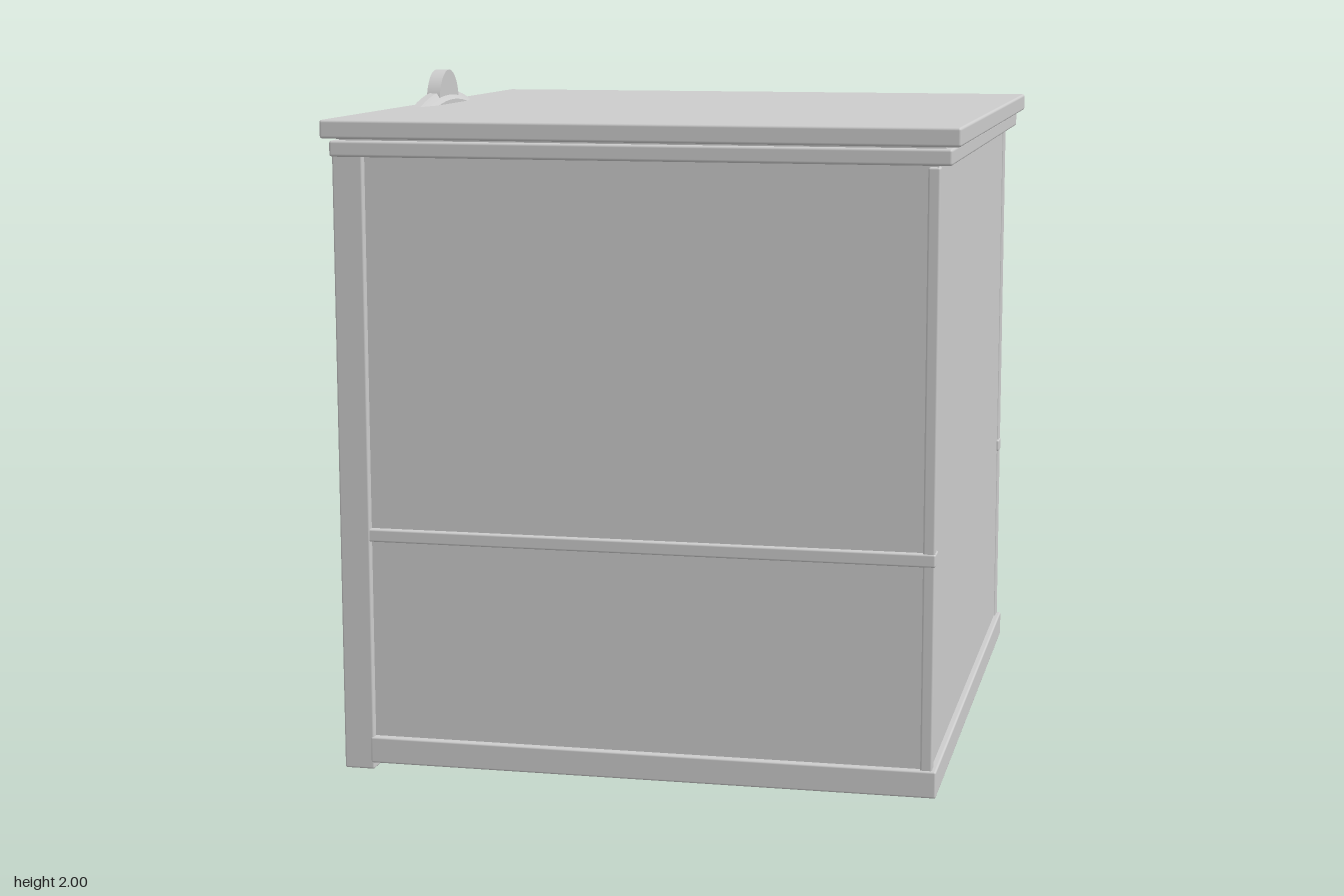
import * as THREE from 'three';
import { toCreasedNormals } from 'three/addons/utils/BufferGeometryUtils.js';
import { RoundedBoxGeometry } from 'three/addons/geometries/RoundedBoxGeometry.js';

export function createModel() {
  const group = new THREE.Group();
  const grey = new THREE.MeshStandardMaterial({ color: 0xcccccc });
  grey.name = 'plain grey';

  function add(name, geometry) {
    const mesh = new THREE.Mesh(geometry, grey);
    mesh.name = name;
    group.add(mesh);
    return mesh;
  }
  // Box given by its extents, with softened edges when r > 0
  function block(name, [x0, x1], [y0, y1], [z0, z1], r = 0.006) {
    const size = [x1 - x0, y1 - y0, z1 - z0];
    const geometry = r ? new RoundedBoxGeometry(...size, 2, r) : new THREE.BoxGeometry(...size);
    add(name, geometry).position.set((x0 + x1) / 2, (y0 + y1) / 2, (z0 + z1) / 2);
  }

  // Roof slab and the cornice below it
  block('roofSlab', [-0.905, 0.905], [1.842, 1.895], [-0.97, 0.97], 0.008);
  block('roofCore', [-0.86, 0.86], [1.82, 1.86], [-0.93, 0.93], 0);
  block('cornice', [-0.885, 0.88], [1.79, 1.836], [-0.95, 0.95], 0.008);

  // Closed end wall
  block('endWall', [0.815, 0.84], [0.06, 1.8], [-0.92, 0.92], 0);
  block('endBaseRail', [0.805, 0.858], [0.02, 0.098], [-0.942, 0.942]);

  // Front and back walls, mirrored
  for (const s of [1, -1]) {
    const side = s > 0 ? 'front' : 'back';
    const span = (a, b) => (s > 0 ? [a, b] : [-b, -a]);
    block(side + 'Wall', [-0.82, 0.83], [0.06, 1.8], span(0.9, 0.92), 0);
    block(side + 'BaseRail', [-0.8, 0.858], [0.02, 0.098], span(0.882, 0.942));
    block(side + 'MidRail', [-0.8, 0.848], [0.68, 0.718], span(0.875, 0.938));
    block(side + 'CornerPost', [0.808, 0.845], [0.09, 1.785], span(0.885, 0.918));
    block(side + 'CornerStrip', [0.812, 0.846], [0.09, 1.785], span(0.915, 0.935));
    block(side + 'OpenSidePost', [-0.88, -0.79], [0, 1.8], span(0.84, 0.94));
  }

  // Moulded arch in the open side, its crown rising through the roof
  const half = [[0.872, 0.022], [0.858, 0.037], [0.835, 0.037], [0.82, 0.02]];
  const profile = [
    ...half.map(([r, w]) => [r, -w]).reverse(),
    [0.885, -0.012], [0.885, 0.012],
    ...half,
    [0.82, -0.02],
  ].map(([r, w]) => new THREE.Vector2(r, w));
  const archGeometry = new THREE.LatheGeometry(profile, 64, 0, Math.PI);
  archGeometry.rotateZ(Math.PI / 2);
  add('arch', toCreasedNormals(archGeometry, 0.4)).position.set(-0.848, 1.05, 0);
  block('archCrossbar', [-0.875, -0.82], [1.035, 1.085], [-0.86, 0.86]);

  // Round keystone on the crown
  const keystone = new THREE.CylinderGeometry(0.1, 0.1, 0.042, 40);
  keystone.rotateZ(Math.PI / 2);
  add('keystone', keystone).position.set(-0.846, 1.9, 0);

  // Row of small plaques inside the front wall
  for (let i = 0; i < 3; i++) {
    const x = -0.715 + i * 0.142;
    block('plaque', [x - 0.065, x + 0.065], [1.29, 1.46], [0.87, 0.902], 0.012);
  }

  return group;
}
